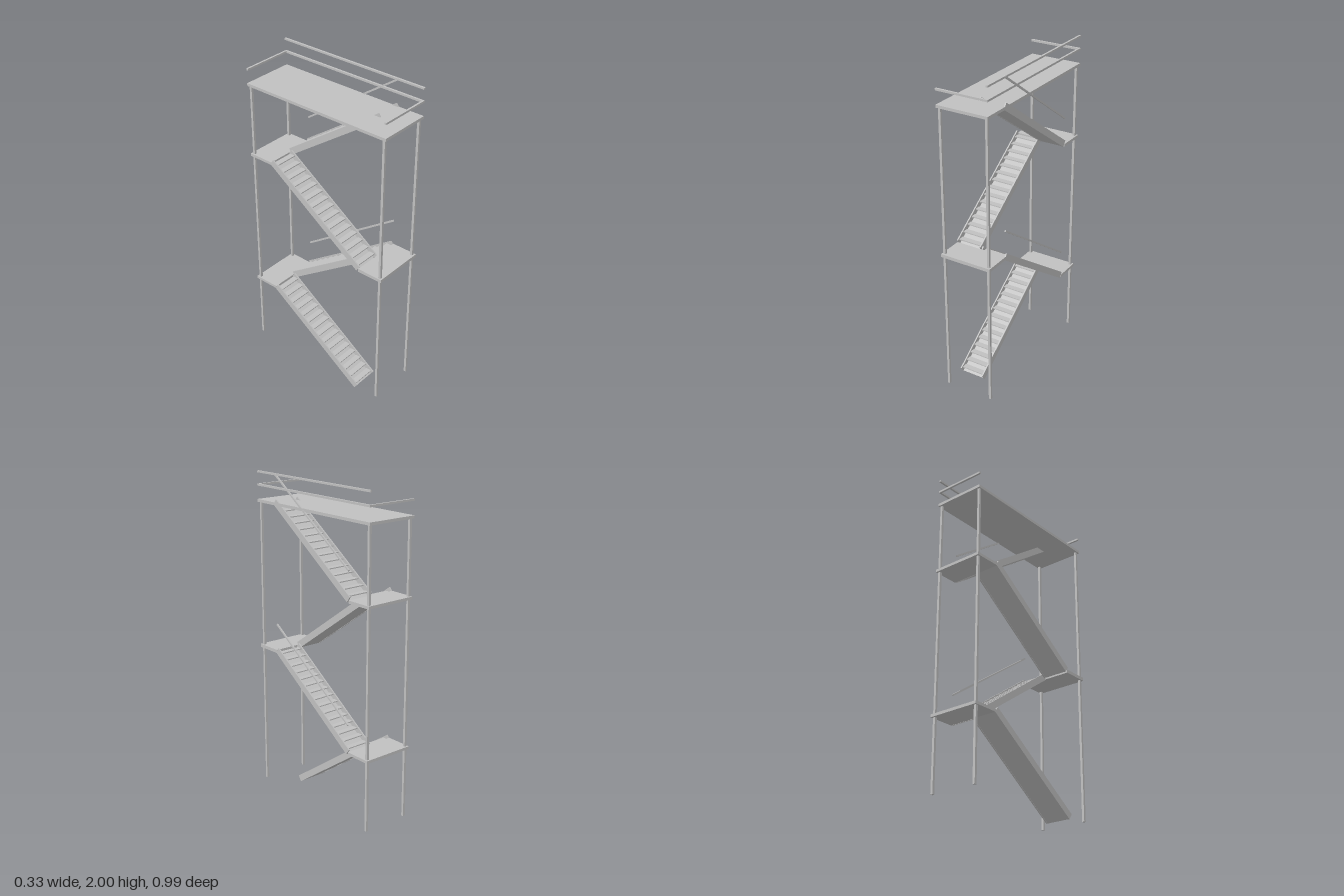
import * as THREE from 'three';

export function createModel() {
  const tower = new THREE.Group();
  tower.name = 'stairTower';
  const steel = new THREE.MeshStandardMaterial({ color: 0xc0c0c0 });
  steel.name = 'greySteel';

  function box(name, w, h, d, x, y, z, parent = tower) {
    const mesh = new THREE.Mesh(new THREE.BoxGeometry(w, h, d), steel);
    mesh.name = name;
    mesh.position.set(x, y, z);
    parent.add(mesh);
    return mesh;
  }

  // Corner posts
  for (const x of [-0.15, 0.147])
    for (const z of [-0.477, 0.477]) box('post', 0.015, 1.8, 0.015, x, 0.92, z);

  // Top deck and half-flight landings
  box('topDeck', 0.328, 0.017, 0.99, -0.001, 1.823, 0);
  box('backLanding', 0.328, 0.017, 0.165, -0.001, 0.463, -0.4125);
  box('frontLanding', 0.328, 0.02, 0.165, -0.001, 0.917, 0.4125);
  box('backLanding', 0.328, 0.017, 0.165, -0.001, 1.368, -0.4125);

  // Flights alternate sides; each has two stringers, a soffit and level treads
  const run = 0.654, rise = 0.4545, steps = 15;
  const pitch = Math.atan2(rise, run), length = Math.hypot(run, rise);

  for (let i = 0; i < 4; i++) {
    const toFront = i % 2 === 1;
    const sign = toFront ? 1 : -1;
    const flight = new THREE.Group();
    flight.name = 'flight';
    flight.position.set(toFront ? 0.081 : -0.083, 0.0165 + rise * (i + 0.5), 0);
    tower.add(flight);

    const slope = new THREE.Group();
    slope.name = 'slopedParts';
    slope.rotation.x = -sign * pitch;
    flight.add(slope);
    for (const x of [-0.078, 0.078]) box('stringer', 0.008, 0.04, length, x, 0, 0, slope);
    box('soffit', 0.15, 0.004, length, 0, -0.016, 0, slope);

    for (let s = 0; s < steps; s++) {
      const t = (s + 0.5) / steps - 0.5;
      box('tread', 0.15, 0.006, 0.036, 0, rise * t + 0.002, sign * run * t, flight);
    }

    // Sloping handrail on the outer side of the forward-rising flights
    if (toFront) {
      const rail = box('handrail', 0.008, 0.01, length, 0.16, i === 1 ? 0.864 : 1.7705, 0);
      rail.rotation.x = -pitch;
    }
  }

  // Deck guard rails
  box('upperGuardRail', 0.012, 0.011, 0.99, 0.157, 1.9945, 0);
  box('lowerGuardRail', 0.012, 0.012, 0.99, 0.157, 1.917, 0);
  for (const z of [-0.489, 0.489]) box('endGuardRail', 0.316, 0.012, 0.012, -0.007, 1.917, z);

  return tower;
}
